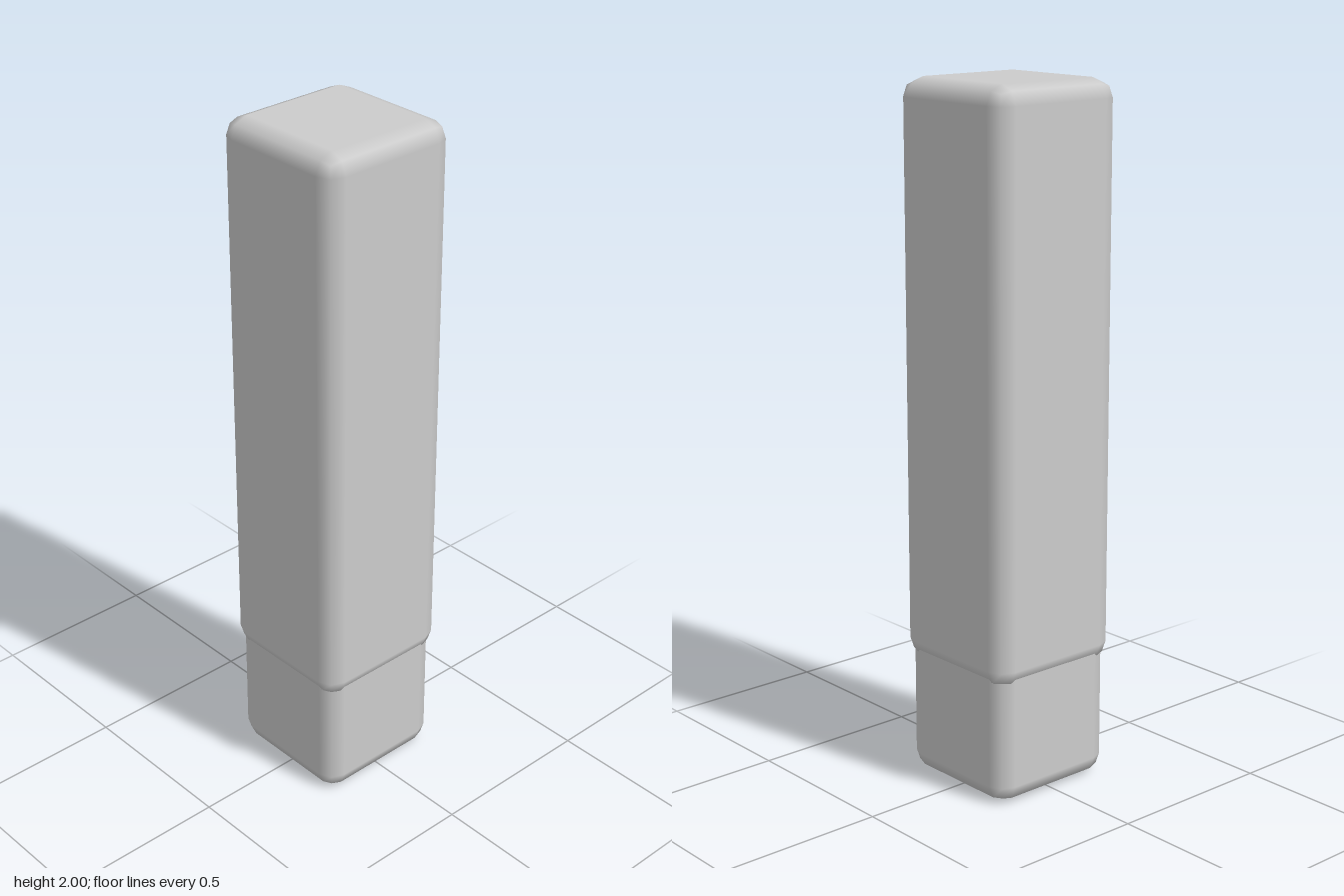
import * as THREE from 'three';
import { RoundedBoxGeometry } from 'three/addons/geometries/RoundedBoxGeometry.js';

const material = new THREE.MeshStandardMaterial({ color: 0xcccccc });

// Square rounded block standing between two heights
function block(name, width, bottom, top, radius) {
  const geometry = new RoundedBoxGeometry(width, top - bottom, width, 1, radius);
  const mesh = new THREE.Mesh(geometry, material);
  mesh.name = name;
  mesh.position.y = (bottom + top) / 2;
  return mesh;
}

export function createModel() {
  const group = new THREE.Group();
  group.name = 'squarePost';
  // Narrower foot runs up inside the wider sleeve
  group.add(block('foot', 0.408, 0, 0.6, 0.052));
  group.add(block('sleeve', 0.43, 0.347, 2, 0.054));
  return group;
}
